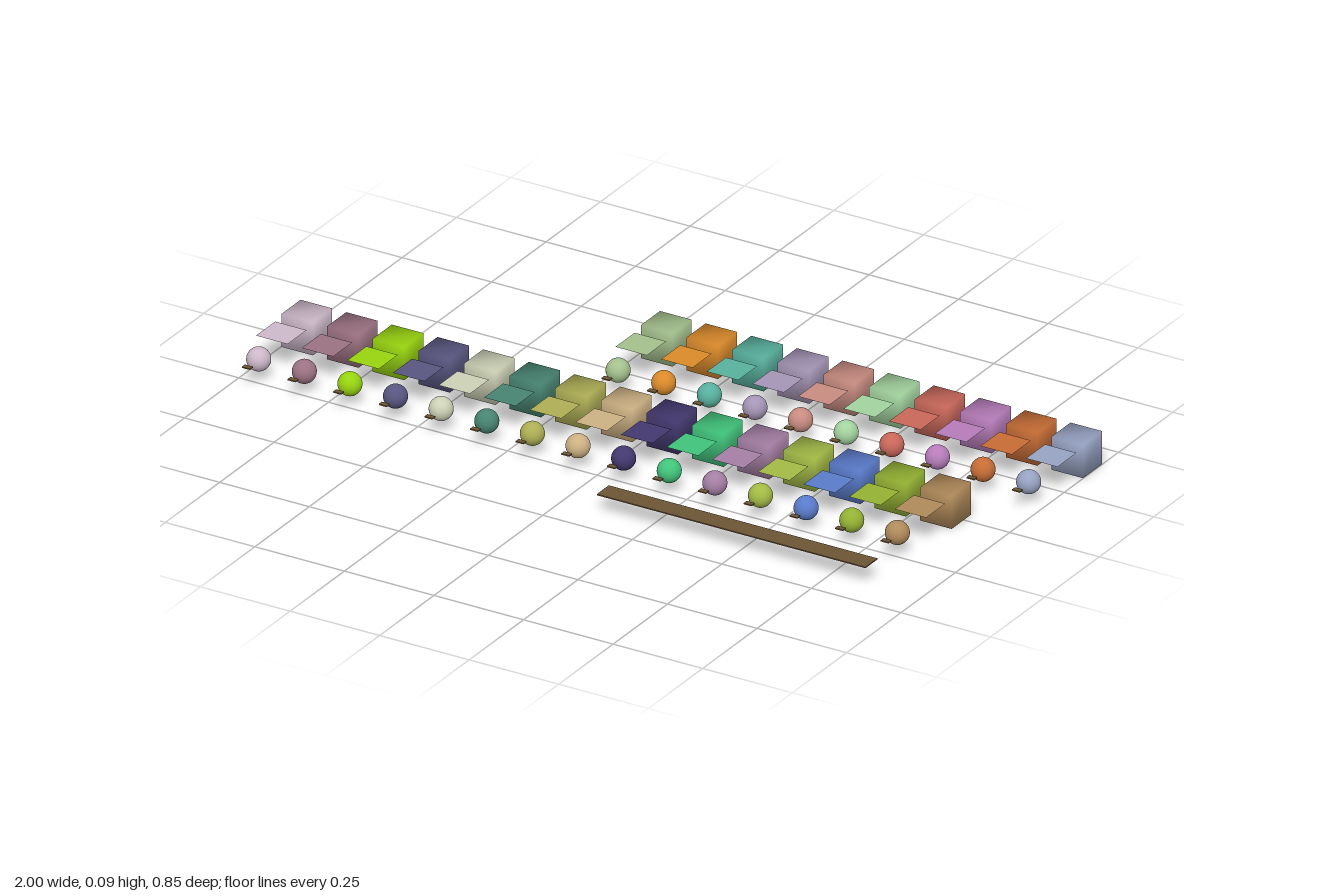
import * as THREE from 'three';
import { mergeVertices } from 'three/addons/utils/BufferGeometryUtils.js';

const PITCH = 1.91 / 15;   // column spacing
const SIZE = 0.088;        // cube and tile edge

// Each row: first column, z of the cube centre, one colour per swatch
const ROWS = [
  { first: 0, z: 0.012, colors: [
    0xcdb8c9, 0x9c7283, 0x98d40f, 0x585680, 0xcdd1b5, 0x478471, 0xaeae55, 0xcdb183,
    0x43386f, 0x41c47b, 0xa57fa5, 0xa3ba45, 0x5a7bcb, 0x94b233, 0xb08a5a] },
  { first: 6, z: -0.382, colors: [
    0xa4c08d, 0xda8a2a, 0x58b09e, 0xa495b5, 0xc88b80,
    0xa3d39f, 0xc9675a, 0xb77cbb, 0xc66c35, 0x97a3c3] },
];

// Cube whose corners share their normals, for soft shading across the edges
function softCube(size) {
  const geo = new THREE.BoxGeometry(size, size, size);
  geo.deleteAttribute('normal');
  geo.deleteAttribute('uv');
  const merged = mergeVertices(geo);
  merged.computeVertexNormals();
  return merged;
}

function add(parent, name, geometry, material, x, y, z) {
  const mesh = new THREE.Mesh(geometry, material);
  mesh.name = name;
  mesh.position.set(x, y, z);
  parent.add(mesh);
}

export function createModel() {
  const model = new THREE.Group();
  model.name = 'materialSwatches';

  const cube = softCube(SIZE);
  const tile = new THREE.PlaneGeometry(SIZE, SIZE).rotateX(-Math.PI / 2);
  const ball = new THREE.SphereGeometry(0.03, 32, 20);
  const tag = new THREE.BoxGeometry(0.022, 0.003, 0.014);
  const ink = new THREE.MeshStandardMaterial({ color: 0x6b5535 });

  for (const row of ROWS) {
    row.colors.forEach((color, i) => {
      const material = new THREE.MeshStandardMaterial({ color });
      const sheet = new THREE.MeshStandardMaterial({ color, side: THREE.DoubleSide });
      const swatch = new THREE.Group();
      swatch.name = 'swatch';
      swatch.position.set(-0.955 + (row.first + i) * PITCH, 0, row.z);
      add(swatch, 'sampleCube', cube, material, 0, SIZE / 2, 0);
      add(swatch, 'sampleTile', tile, sheet, 0, 0.08, 0.117);
      add(swatch, 'sampleBall', ball, material, 0, 0.055, 0.221);
      add(swatch, 'blankTag', tag, ink, 0, 0.055, 0.273);
      model.add(swatch);
    });
  }

  // Plain caption strip in front of the rows
  add(model, 'captionStrip', new THREE.BoxGeometry(0.75, 0.003, 0.055), ink, 0.48, 0.05, 0.397);

  return model;
}
